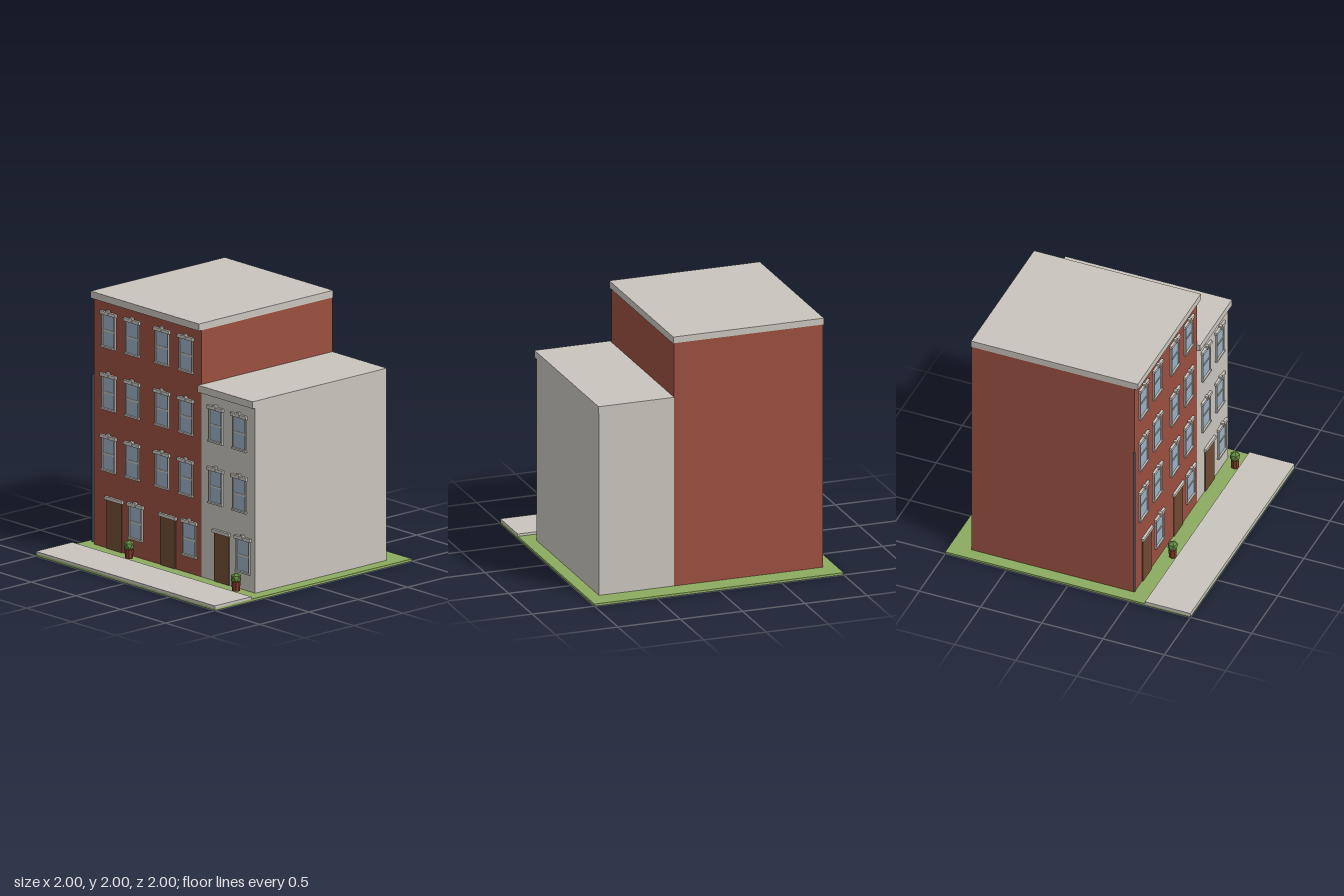
import * as THREE from 'three';

function mat(name, color) {
  const m = new THREE.MeshStandardMaterial({ color });
  m.name = name;
  return m;
}

export function createModel() {
  const brick = mat('brick', 0x9a5040);
  const stone = mat('pale stone', 0xc9c5bd);
  const grass = mat('grass', 0x8cab60);
  const glass = mat('window glass', 0x9ab0c4);
  const wood = mat('door wood', 0x704a33);
  const leaf = mat('leaf', 0x668c45);
  leaf.flatShading = true;
  const clay = mat('clay', 0x7f3a2b);
  clay.flatShading = true;
  const iron = mat('pipe metal', 0x46566a);

  const model = new THREE.Group();
  model.name = 'townhouses';

  // Box given by its lower and upper corners
  function box(name, material, parent, x0, x1, y0, y1, z0, z1) {
    const mesh = new THREE.Mesh(new THREE.BoxGeometry(x1 - x0, y1 - y0, z1 - z0), material);
    mesh.position.set((x0 + x1) / 2, (y0 + y1) / 2, (z0 + z1) / 2);
    mesh.name = name;
    parent.add(mesh);
    return mesh;
  }

  // Ground
  box('lawn', grass, model, -1, 1, 0, 0.018, -1, 1);
  box('sidewalk', stone, model, -1, 1, 0.012, 0.037, 0.63, 1);

  // Building bodies with flat roof slabs that overhang the street
  const back = -0.83, front = 0.5;
  box('brickHouse', brick, model, -0.9, 0.297, 0.015, 1.95, back, front);
  box('brickHouseRoof', stone, model, -0.905, 0.303, 1.945, 2, back, front + 0.03);
  box('stoneHouse', stone, model, 0.297, 0.9, 0.015, 1.47, back, front);
  box('stoneHouseRoof', stone, model, 0.29, 0.903, 1.465, 1.52, back, front + 0.03);

  // Sash window, origin at the bottom centre of the sill on the wall
  function addWindow(x, y) {
    const w = new THREE.Group();
    w.name = 'window';
    w.position.set(x, y, front);
    box('pane', glass, w, -0.067, 0.067, 0.01, 0.255, -0.005, 0.004);
    for (const s of [-1, 1]) {
      box('jamb', stone, w, s * 0.07 - 0.006, s * 0.07 + 0.006, 0.008, 0.262, -0.005, 0.012);
    }
    box('sashBar', stone, w, -0.066, 0.066, 0.13, 0.143, -0.005, 0.008);
    box('sill', stone, w, -0.08, 0.08, 0, 0.014, -0.005, 0.018);
    box('lintel', stone, w, -0.087, 0.087, 0.258, 0.283, -0.005, 0.02);
    box('keystone', stone, w, -0.013, 0.013, 0.264, 0.298, -0.005, 0.025);
    model.add(w);
  }

  const brickColumns = [-0.733, -0.468, -0.136, 0.131];
  const stoneColumns = [0.463, 0.728];
  for (const y of [0.618, 1.098]) {
    for (const x of [...brickColumns, ...stoneColumns]) addWindow(x, y);
  }
  for (const x of brickColumns) addWindow(x, 1.583);

  // Ground floor: a door with a window beside it, three times
  for (const x of [-0.67, -0.07, 0.53]) {
    box('door', wood, model, x - 0.084, x + 0.084, 0.005, 0.402, front - 0.01, front + 0.008);
    box('doorLintel', stone, model, x - 0.096, x + 0.096, 0.4, 0.425, front - 0.01, front + 0.02);
    addWindow(x + 0.239, 0.148);
  }

  // Rain pipe on the corner of the brick house
  const pipe = new THREE.Mesh(new THREE.CylinderGeometry(0.009, 0.009, 1.31, 8), iron);
  pipe.position.set(-0.908, 0.69, 0.505);
  pipe.name = 'rainPipe';
  model.add(pipe);

  // Potted shrubs
  for (const x of [-0.4, 0.795]) {
    const planter = new THREE.Group();
    planter.name = 'planter';
    planter.position.set(x, 0.036, 0.6);
    const pot = new THREE.Mesh(new THREE.CylinderGeometry(0.033, 0.031, 0.07, 8), clay);
    pot.position.y = 0.035;
    pot.name = 'pot';
    const shrubGeometry = new THREE.IcosahedronGeometry(0.044, 0);
    shrubGeometry.rotateZ(-Math.atan(2 / (1 + Math.sqrt(5)))); // one corner straight up
    const shrub = new THREE.Mesh(shrubGeometry, leaf);
    shrub.position.y = 0.098;
    shrub.name = 'shrub';
    planter.add(pot, shrub);
    model.add(planter);
  }

  return model;
}
